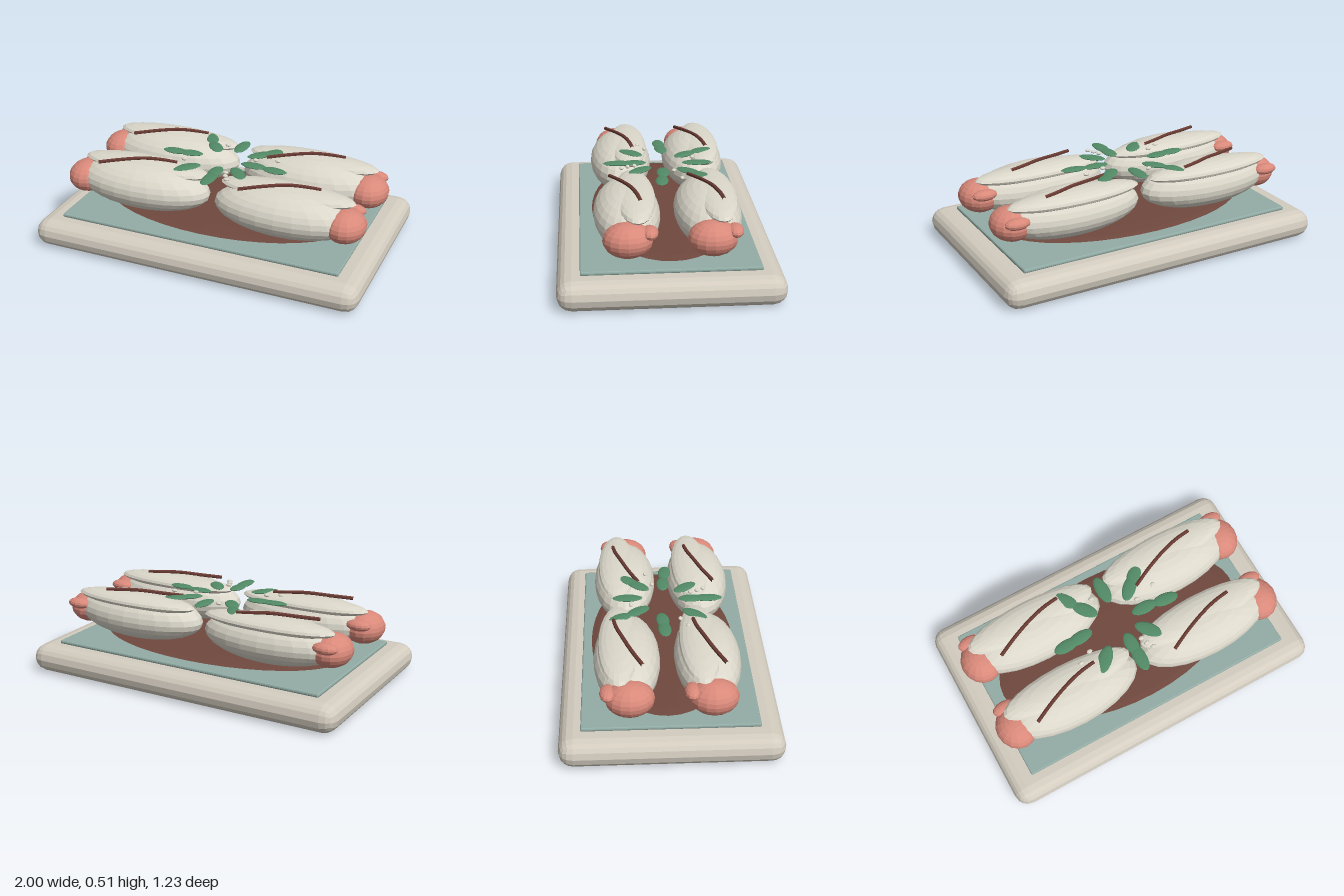
import * as THREE from 'three';
import { RoundedBoxGeometry } from 'three/addons/geometries/RoundedBoxGeometry.js';

export function createModel() {
  const root = new THREE.Group();
  root.name = 'filledBunPlatter';

  const mat = (name, color) => {
    const m = new THREE.MeshStandardMaterial({ color, flatShading: true });
    m.name = name;
    return m;
  };
  const stone = mat('stone', 0xd3ccbf);
  const bread = mat('bread', 0xdbd7ca);
  const teal = mat('teal', 0x92aca5);
  const sauce = mat('sauce', 0x6f483e);
  const glaze = mat('glaze', 0x683a32);
  const pink = mat('pink', 0xd9897a);
  const green = mat('green', 0x528a66);

  const add = (parent, name, geo, material, x = 0, y = 0, z = 0) => {
    const mesh = new THREE.Mesh(geo, material);
    mesh.name = name;
    mesh.position.set(x, y, z);
    parent.add(mesh);
    return mesh;
  };
  const ellipsoid = (rx, ry, rz, w = 20, h = 12) =>
    new THREE.SphereGeometry(1, w, h).scale(rx, ry, rz);

  // Tray, liner and sauce pool
  add(root, 'tray', new RoundedBoxGeometry(2, 0.165, 1.23, 2, 0.082), stone, 0, 0.0825, 0);
  add(root, 'liner', new RoundedBoxGeometry(1.72, 0.022, 0.98, 1, 0.008), teal, 0, 0.174, -0.003);
  add(root, 'saucePool', ellipsoid(0.785, 0.02, 0.425, 40, 8), sauce, 0, 0.2, -0.015);

  // Four filled buns, mirrored left to right and repeated front to back
  const drizzlePath = new THREE.CatmullRomCurve3([
    [-0.255, 0.478, 0.085], [-0.13, 0.492, 0.025], [0, 0.503, -0.025],
    [0.1, 0.498, -0.055], [0.19, 0.49, -0.07],
  ].map((p) => new THREE.Vector3(...p)));
  const drizzleGeo = new THREE.TubeGeometry(drizzlePath, 12, 0.011, 6);

  for (const z of [0.22, -0.233]) {
    for (const side of [-1, 1]) {
      const bun = new THREE.Group();
      bun.name = (z > 0 ? 'front' : 'back') + (side > 0 ? 'Left' : 'Right') + 'Bun';
      bun.position.z = z;
      root.add(bun);
      add(bun, 'bunBody', ellipsoid(0.425, 0.14, 0.187, 24, 14), bread, side * 0.445, 0.35, 0);
      add(bun, 'bunLid', ellipsoid(0.405, 0.045, 0.115, 24, 10), bread, side * 0.445, 0.449, -0.045);
      add(bun, 'filling', ellipsoid(0.12, 0.095, 0.135, 16, 12), pink, side * 0.81, 0.343, 0.01);
      add(bun, 'fillingTip', ellipsoid(0.075, 0.032, 0.045, 12, 8), pink, side * 0.82, 0.386, -0.107);
      add(bun, 'drizzle', drizzleGeo, glaze, side < 0 ? -0.445 : 0.447, 0, 0);
    }
  }

  // Leaves: x, z, half length, half width, turn about y
  const leaves = [
    [0.005, -0.22, 0.09, 0.04, 1.57],
    [-0.215, -0.265, 0.075, 0.04, -1.0], [-0.145, -0.16, 0.08, 0.04, -0.9],
    [0.15, -0.155, 0.085, 0.04, 0.8], [0.215, -0.215, 0.075, 0.04, 0.8],
    [-0.345, -0.015, 0.08, 0.038, 0.05], [-0.25, -0.022, 0.08, 0.038, 0.08],
    [0.165, -0.005, 0.08, 0.038, -0.02], [0.3, 0.01, 0.08, 0.038, -0.1],
    [-0.19, 0.165, 0.088, 0.042, 0.8],
    [0.12, 0.125, 0.085, 0.04, -0.85],
    [-0.01, 0.155, 0.075, 0.04, 1.57], [-0.008, 0.25, 0.09, 0.04, 1.57],
  ];
  const garnish = new THREE.Group();
  garnish.name = 'garnish';
  root.add(garnish);
  for (const [x, z, l, w, turn] of leaves) {
    add(garnish, 'leaf', ellipsoid(l, 0.01, w, 14, 6), green, x, 0.48, z).rotation.y = turn;
  }

  // Scattered seeds
  const seeds = [
    [-0.32, 0.12], [-0.245, 0.08], [-0.08, -0.2], [0.152, -0.07],
    [0.28, -0.107], [0.055, 0.155], [0.07, 0.195], [0.092, 0.232],
  ];
  const seedGeo = ellipsoid(0.018, 0.01, 0.013, 8, 6);
  for (const [x, z] of seeds) add(garnish, 'seed', seedGeo, bread, x, 0.486, z);

  return root;
}
